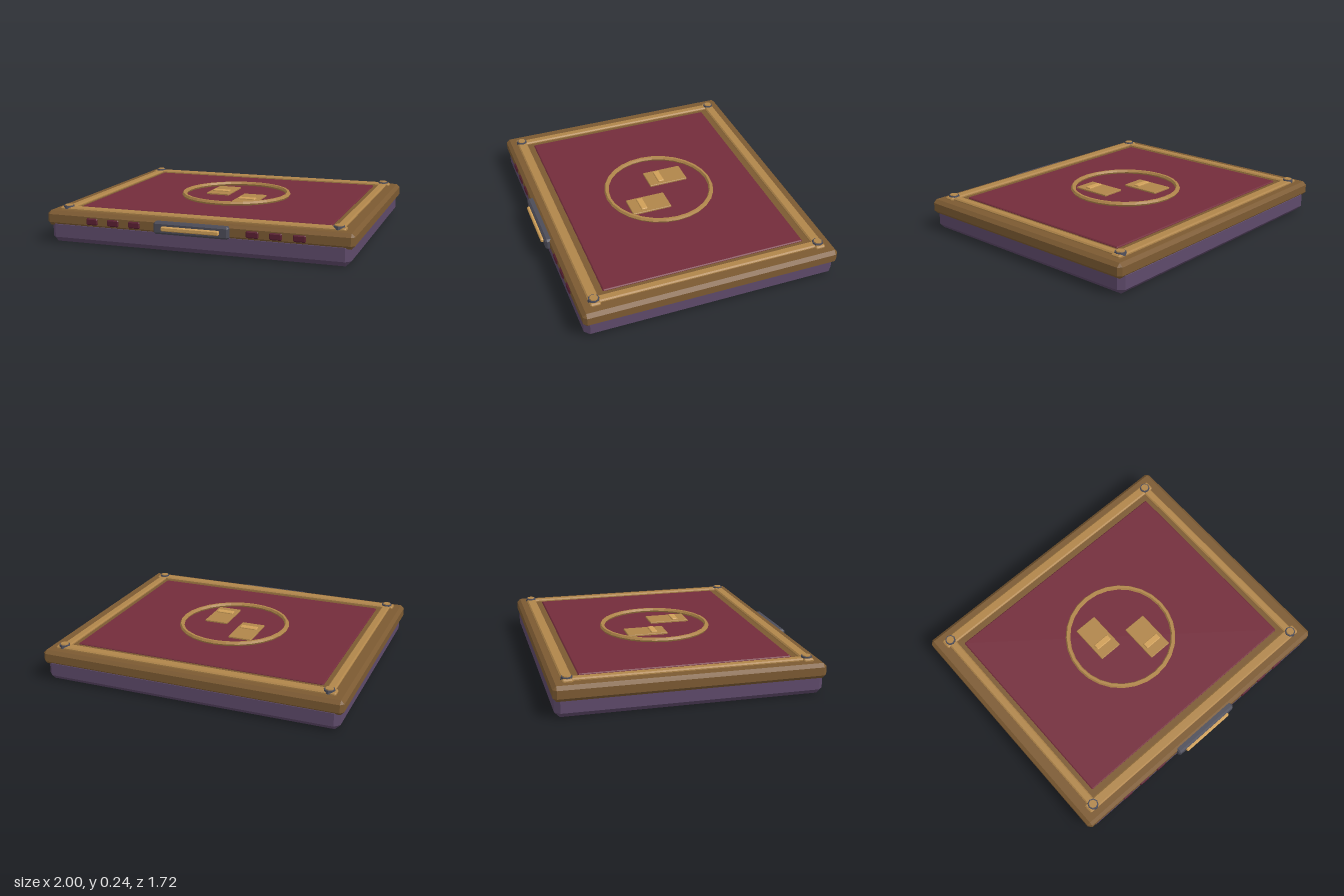
import * as THREE from 'three';
import { ConvexGeometry } from 'three/addons/geometries/ConvexGeometry.js';

const paint = (name, color) => {
  const m = new THREE.MeshStandardMaterial({ color });
  m.name = name;
  return m;
};

// Box between two corners with every edge cut by c
function chamferBox([x0, y0, z0], [x1, y1, z1], c) {
  const half = [(x1 - x0) / 2, (y1 - y0) / 2, (z1 - z0) / 2];
  const pts = [];
  for (const sx of [-1, 1]) for (const sy of [-1, 1]) for (const sz of [-1, 1]) {
    for (let axis = 0; axis < 3; axis++) {
      const h = half.map((v, i) => (i === axis ? v : v - c));
      pts.push(new THREE.Vector3(sx * h[0], sy * h[1], sz * h[2]));
    }
  }
  return new ConvexGeometry(pts).translate((x0 + x1) / 2, (y0 + y1) / 2, (z0 + z1) / 2);
}

export function createModel() {
  const model = new THREE.Group();
  model.name = 'floorPanel';

  const purple = paint('purple base', 0x5e4a6a);
  const bronze = paint('bronze frame', 0x7c5a32);
  const gold = paint('gold trim', 0xb0854a);
  const brightGold = paint('bright gold', 0xcf9f58);
  const crimson = paint('crimson panel', 0x732c3b);
  const darkRed = paint('dark red stud', 0x5a2032);
  const steel = paint('dark steel', 0x4c4c58);

  const add = (name, geometry, material) => {
    const mesh = new THREE.Mesh(geometry, material);
    mesh.name = name;
    model.add(mesh);
    return mesh;
  };
  const box = (name, material, min, max, c) => add(name, chamferBox(min, max, c), material);

  const zc = -0.024; // centre of the slab in depth

  // Base, frame slab and inset panel
  box('base', purple, [-0.977, 0, zc - 0.83], [0.977, 0.15, zc + 0.83], 0.033);
  box('frame', bronze, [-1, 0.108, zc - 0.839], [1, 0.204, zc + 0.839], 0.022);
  box('panel', crimson, [-0.83, 0.18, zc - 0.667], [0.83, 0.213, zc + 0.667], 0.006);

  // Raised trim bars along the four sides
  for (const s of [-1, 1]) {
    const z = zc + s * 0.743;
    box('trimAcross', gold, [-0.935, 0.19, z - 0.033], [0.935, 0.22, z + 0.033], 0.008);
    const x = s * 0.888;
    box('trimSide', gold, [x - 0.027, 0.19, zc - 0.72], [x + 0.027, 0.219, zc + 0.72], 0.008);
  }

  // Corner bolts: steel collar with a gold cap
  for (const sx of [-1, 1]) for (const sz of [-1, 1]) {
    const collar = new THREE.CylinderGeometry(0.034, 0.038, 0.02, 8).toNonIndexed();
    collar.computeVertexNormals();
    add('boltCollar', collar, steel).position.set(sx * 0.888, 0.218, zc + sz * 0.743);
    const cap = new THREE.CylinderGeometry(0.026, 0.029, 0.012, 8).toNonIndexed();
    cap.computeVertexNormals();
    add('boltCap', cap, gold).position.set(sx * 0.888, 0.227, zc + sz * 0.743);
  }

  // Ring on the panel
  const ringGeometry = new THREE.TorusGeometry(0.358, 0.016, 6, 28).rotateX(Math.PI / 2).toNonIndexed();
  ringGeometry.computeVertexNormals();
  add('ring', ringGeometry, gold).position.set(0, 0.225, zc);

  // Two plates inside the ring, each with a small raised bar
  for (const [x, z] of [[-0.123, -0.115], [0.134, 0.099]]) {
    box('plate', gold, [x - 0.08, 0.2, z - 0.134], [x + 0.08, 0.224, z + 0.134], 0.003);
    box('plateBar', brightGold, [x - 0.059, 0.21, z + 0.026], [x + 0.059, 0.234, z + 0.068], 0.004);
  }

  // Studs along the front edge
  for (const s of [-1, 1]) for (const x of [0.385, 0.53, 0.675]) {
    box('frontStud', darkRed, [s * x - 0.04, 0.131, 0.78], [s * x + 0.04, 0.175, 0.823], 0.008);
  }

  // Front latch with its gold bar
  box('latch', steel, [-0.244, 0.115, 0.79], [0.244, 0.193, 0.843], 0.012);
  box('latchBar', brightGold, [-0.187, 0.139, 0.82], [0.187, 0.168, 0.86], 0.006);

  return model;
}
